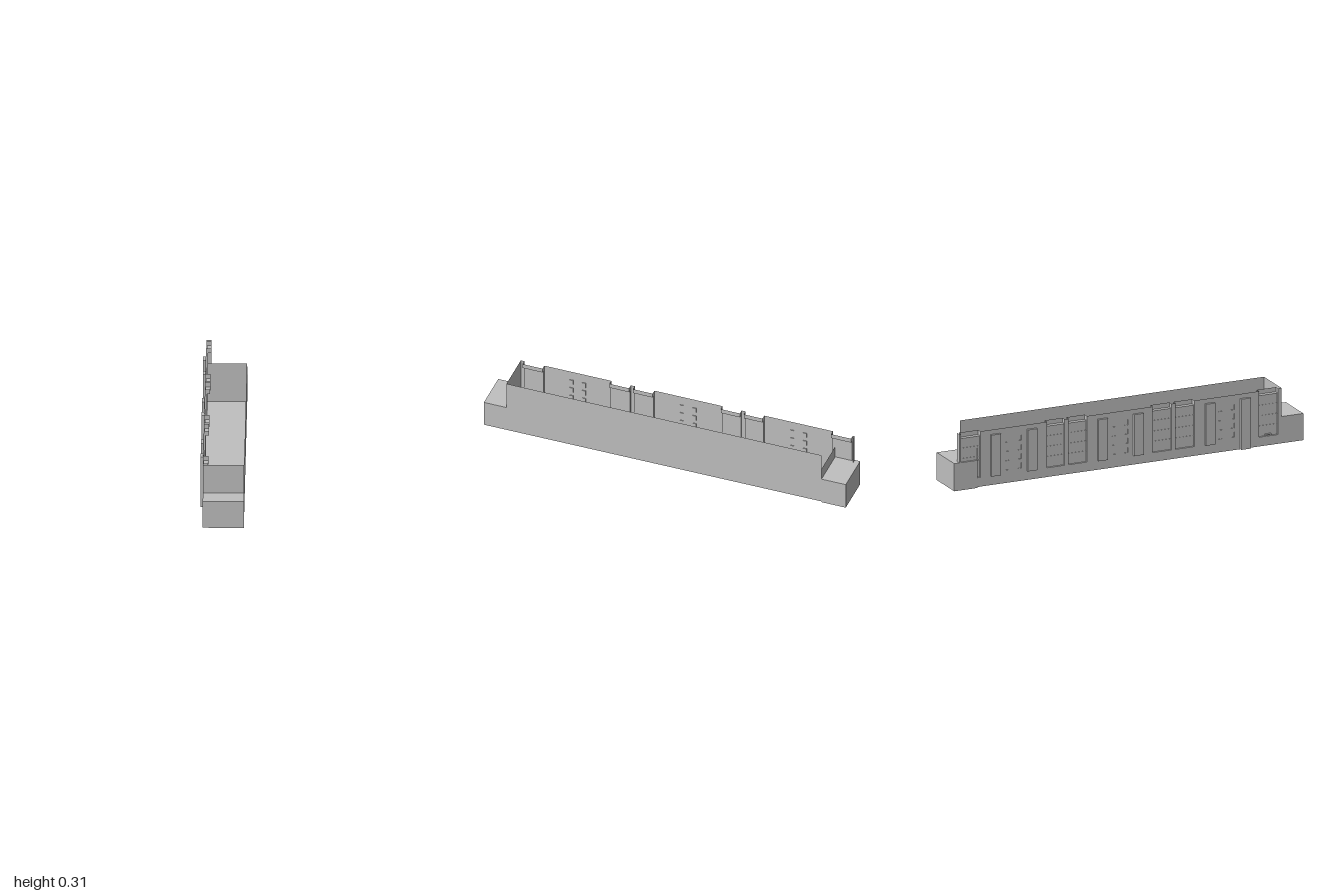
import * as THREE from 'three';

const WALL = -0.1, EAST = 0.113, BASE = 0.005, STEP = 0.15, LEDGE = 0.28, TOP = 0.305;
const FRONT = 0.875, BACK = -0.866, TAIL = -0.97;

export function createModel() {
  const model = new THREE.Group();
  model.name = 'longBuilding';
  const grey = new THREE.MeshStandardMaterial({ color: 0xc0c0c0, side: THREE.DoubleSide });
  grey.name = 'plain grey';

  const add = (name, geometry, parent = model) => {
    const mesh = new THREE.Mesh(geometry, grey);
    mesh.name = name;
    parent.add(mesh);
    return mesh;
  };

  // Closed block given by its limits
  const block = (name, x0, x1, y0, y1, z0, z1, parent) =>
    add(name, new THREE.BoxGeometry(x1 - x0, y1 - y0, z1 - z0), parent)
      .position.set((x0 + x1) / 2, (y0 + y1) / 2, (z0 + z1) / 2);

  // Thin sheets facing along x, y or z
  const sheetX = (name, x, y0, y1, z0, z1, side, parent) =>
    add(name, new THREE.PlaneGeometry(z1 - z0, y1 - y0).rotateY(side * Math.PI / 2)
      .translate(x, (y0 + y1) / 2, (z0 + z1) / 2), parent);
  const sheetY = (name, y, x0, x1, z0, z1, side, parent) =>
    add(name, new THREE.PlaneGeometry(x1 - x0, z1 - z0).rotateX(-side * Math.PI / 2)
      .translate((x0 + x1) / 2, y, (z0 + z1) / 2), parent);
  const sheetZ = (name, z, x0, x1, y0, y1, side, parent) =>
    add(name, new THREE.PlaneGeometry(x1 - x0, y1 - y0).rotateY(side > 0 ? 0 : Math.PI)
      .translate((x0 + x1) / 2, (y0 + y1) / 2, z), parent);

  // Low end blocks, floor and plain walls, open at the top
  block('frontBlock', WALL, EAST, BASE, STEP, FRONT, 1);
  block('backBlock', WALL, EAST, 0, STEP, -1, BACK);
  sheetY('floor', BASE, WALL, EAST, BACK, FRONT, -1);
  sheetX('plainSideWall', EAST, BASE, TOP, BACK, FRONT, 1);
  sheetZ('frontWall', FRONT, WALL, EAST, STEP, TOP, 1);
  sheetZ('lowBackWall', BACK, WALL, EAST, STEP, 0.216, -1);

  // Bays and windows cut from the facade
  const bays = [[-0.96, -0.85], [-0.47, -0.367], [-0.345, -0.24],
    [0.137, 0.245], [0.267, 0.375], [0.745, 0.855]];
  const SILL = 0.055;
  const windows = [];
  for (const centre of [-0.66, -0.05, 0.56])
    for (const dz of [-0.035, 0.035])
      for (const y of [0.075, 0.125, 0.175, 0.225])
        windows.push([centre + dz - 0.01, centre + dz + 0.01, y, y + 0.028]);

  // Facade sheet, drawn with z along the shape's x axis
  const outline = new THREE.Shape();
  outline.moveTo(BACK, BASE);
  outline.lineTo(FRONT, BASE);
  outline.lineTo(FRONT, TOP);
  for (const [z0, z1] of [...bays].reverse()) {
    const first = z0 < BACK;
    outline.lineTo(z1, TOP);
    outline.lineTo(z1, SILL);
    outline.lineTo(first ? BACK : z0, SILL);
    if (!first) outline.lineTo(z0, TOP);
  }
  outline.closePath();
  for (const [z0, z1, y0, y1] of windows)
    outline.holes.push(new THREE.Path([[z0, y0], [z0, y1], [z1, y1], [z1, y0]]
      .map(p => new THREE.Vector2(...p))));
  add('facade', new THREE.ShapeGeometry(outline).rotateY(-Math.PI / 2).translate(WALL, 0, 0));
  sheetX('facadeEndPier', WALL, STEP, TOP, TAIL, -0.96, -1);

  // Shallow niche: rear panel, two cheeks and a sill
  const niche = (group, z0, z1, y0, y1, x) => {
    sheetX('panel', x, y0, y1, z0, z1, -1, group);
    sheetZ('cheek', z0, WALL, x, y0, y1, 1, group);
    sheetZ('cheek', z1, WALL, x, y0, y1, -1, group);
    sheetY('sill', y0, WALL, x, z0, z1, 1, group);
  };

  const windowGroup = new THREE.Group();
  windowGroup.name = 'smallWindows';
  model.add(windowGroup);
  for (const [z0, z1, y0, y1] of windows) {
    niche(windowGroup, z0, z1, y0, y1, WALL + 0.004);
    sheetY('lintel', y1, WALL, WALL + 0.004, z0, z1, -1, windowGroup);
  }

  // Bays: recessed panel, ledge and a parapet set further back
  bays.forEach(([z0, z1], i) => {
    const bay = new THREE.Group();
    bay.name = 'bay';
    model.add(bay);
    const PANEL = WALL + 0.01, PARAPET = WALL + 0.027;
    const bottom = i === 0 ? STEP : SILL;
    niche(bay, z0, z1, bottom, LEDGE, PANEL);
    if (i === 0) niche(bay, BACK, z1, SILL, STEP, PANEL);
    sheetY('ledge', LEDGE, WALL + 0.003, PARAPET, z0, z1, 1, bay);
    sheetX('parapet', PARAPET, LEDGE, TOP, z0, z1, -1, bay);
    sheetZ('parapetReturn', z0, WALL, PARAPET, LEDGE, TOP, 1, bay);
    sheetZ('parapetReturn', z1, WALL, PARAPET, LEDGE, TOP, -1, bay);
    // Floor bands across the panel
    for (const y of [0.11, 0.165, 0.222])
      if (y > bottom) block('floorBand', PANEL - 0.002, PANEL, y, y + 0.004, z0, z1, bay);
  });
  sheetZ('facadeEndReturn', TAIL, WALL, WALL + 0.027, STEP, TOP, -1);

  // Door surround below the front bay
  for (const z of [0.782, 0.812]) block('doorPost', WALL - 0.002, WALL + 0.01, BASE, 0.06, z, z + 0.005);
  block('doorHead', WALL - 0.002, WALL + 0.01, 0.06, 0.066, 0.782, 0.817);

  // Buttresses; the front one reaches the ground
  [-0.765, -0.557, -0.152, 0.052, 0.462, 0.665].forEach((z, i) =>
    block('buttress', -0.114, WALL, i === 5 ? BASE : SILL, LEDGE, z - 0.027, z + 0.027));

  return model;
}
